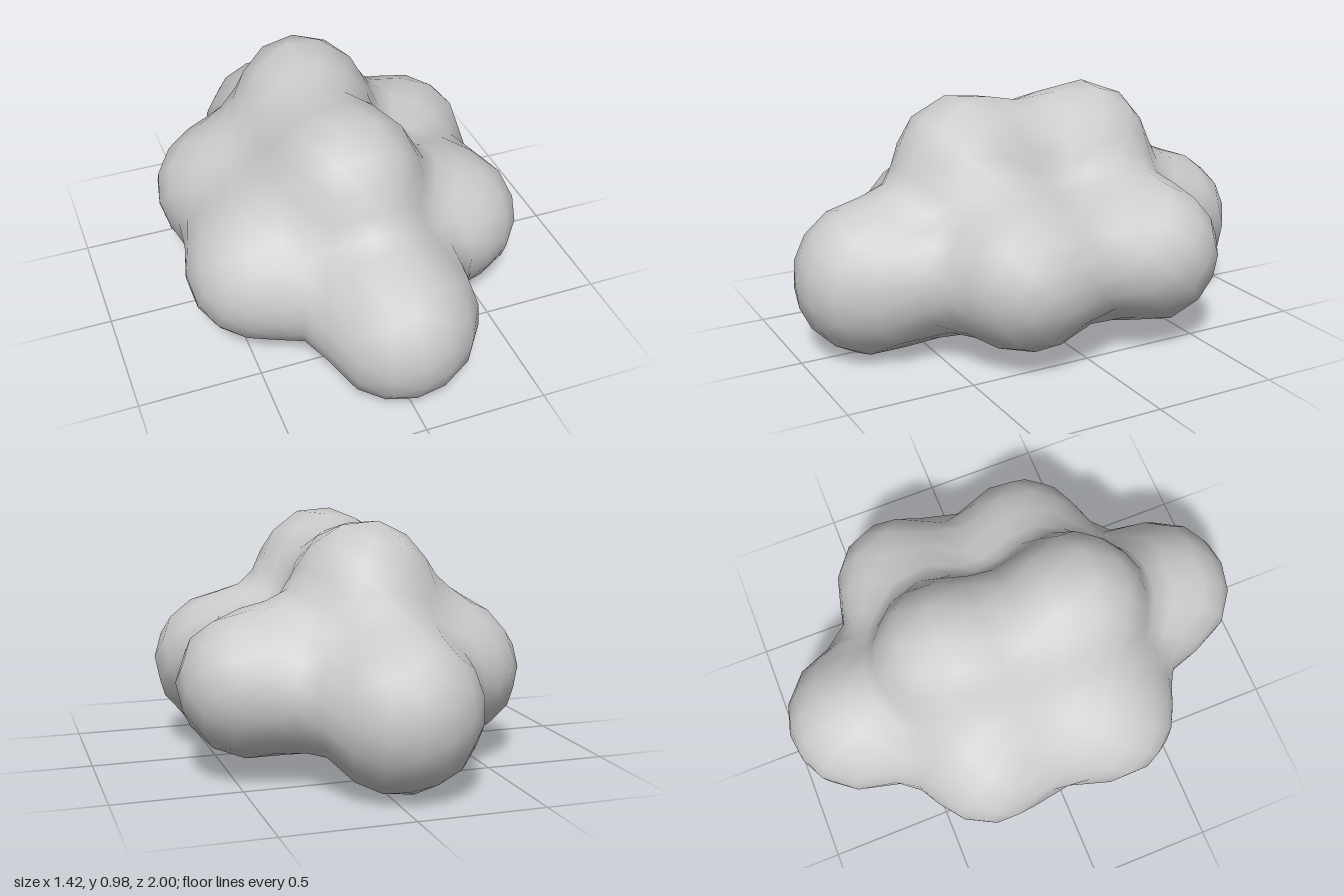
import * as THREE from 'three';
import { mergeVertices } from 'three/addons/utils/BufferGeometryUtils.js';

const v = (x, y, z) => new THREE.Vector3(x, y, z);

// Puffs of the cloud: [centre, radius]
const puffs = [
  [v(0, 0.31, 0.69), 0.312],       // front
  [v(-0.05, 0.32, -0.69), 0.312],  // back
  [v(-0.03, 0.3, 0.28), 0.29],     // lower middle, front half
  [v(-0.03, 0.31, -0.25), 0.285],  // lower middle, back half
  [v(0.17, 0.3, 0), 0.18],         // underside fill, left
  [v(-0.2, 0.3, 0), 0.2],          // underside fill, right
  [v(-0.12, 0.58, 0), 0.25],       // fill below the top ridge
  [v(-0.04, 0.71, 0.26), 0.28],    // top front
  [v(-0.04, 0.715, -0.295), 0.272], // top back
  [v(0.42, 0.375, -0.32), 0.29],   // back left
  [v(0.41, 0.355, 0.225), 0.29],   // front left
  [v(-0.41, 0.365, -0.26), 0.29],  // back right
  [v(-0.42, 0.345, 0.25), 0.295],  // front right
];

// Smooth blend of all puffs; negative inside
function cloudDistance(p) {
  const k = 0.22;
  return puffs.reduce((d, [centre, radius]) => {
    const e = p.distanceTo(centre) - radius;
    const h = Math.max(k - Math.abs(d - e), 0) / k;
    return Math.min(d, e) - h * h * k * 0.25;
  }, 10);
}

// March inward along a direction until the surface is met
function surfacePoint(dir, core) {
  const p = v(0, 0, 0);
  let t = 1.5;
  for (let i = 0; i < 80; i++) {
    p.copy(dir).multiplyScalar(t).add(core);
    const d = cloudDistance(p);
    if (d < 0.0005) break;
    t -= d * 0.9;
  }
  return p;
}

export function createModel() {
  const group = new THREE.Group();
  group.name = 'cloud';

  // Coarse ellipsoid pushed onto the blended surface
  const ball = new THREE.IcosahedronGeometry(1, 6);
  ball.deleteAttribute('normal');
  ball.deleteAttribute('uv');
  ball.scale(0.75, 0.6, 1);
  const geometry = mergeVertices(ball, 1e-4);
  const pos = geometry.attributes.position;
  const core = v(-0.02, 0.38, 0);
  for (let i = 0; i < pos.count; i++) {
    const p = surfacePoint(v(0, 0, 0).fromBufferAttribute(pos, i).normalize(), core);
    pos.setXYZ(i, p.x, p.y, p.z);
  }
  geometry.computeVertexNormals();

  const body = new THREE.Mesh(geometry, new THREE.MeshStandardMaterial({ color: 0xcccccc }));
  body.name = 'cloudBody';
  group.add(body);
  return group;
}
